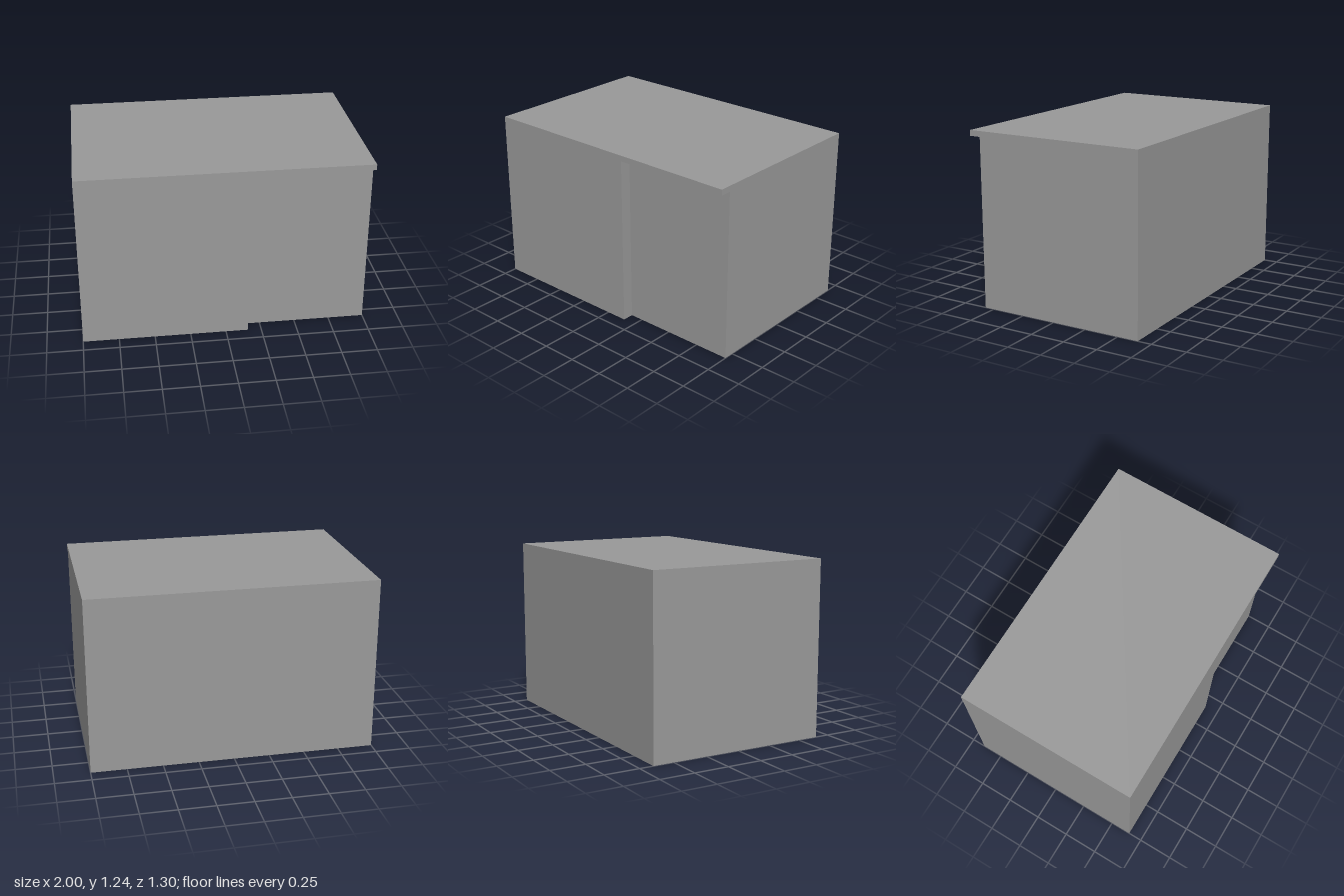
import * as THREE from 'three';

const W = 1, H = 1.24, F = 0.65;       // half width, height, half depth
const SX = 0.155, RY = 1.2, RZ = 0.57; // recess: side, ceiling and back wall

// Flat face fanned from its first corner (the inner corner on L-shaped faces)
function face(name, corners, material) {
  const index = [];
  for (let i = 1; i < corners.length - 1; i++) index.push(0, i, i + 1);
  const g = new THREE.BufferGeometry();
  g.setAttribute('position', new THREE.Float32BufferAttribute(corners.flat(), 3));
  g.setIndex(index);
  g.computeVertexNormals();
  const mesh = new THREE.Mesh(g, material);
  mesh.name = name;
  return mesh;
}

export function createModel() {
  const grey = new THREE.MeshStandardMaterial({ color: 0x999999 });
  grey.name = 'grey';

  // Helpers placing 2D outlines on each axis plane
  const onX = (x, pts) => pts.map(([z, y]) => [x, y, z]);
  const onY = (y, pts) => pts.map(([x, z]) => [x, y, z]);
  const onZ = (z, pts) => pts.map(([x, y]) => [x, y, z]);

  const faces = {
    // Outer shell
    frontWall: onZ(F, [[SX, RY], [W, RY], [W, H], [-W, H], [-W, 0], [SX, 0]]),
    backWall: onZ(-F, [[W, 0], [-W, 0], [-W, H], [W, H]]),
    leftWall: onX(W, [[RZ, RY], [RZ, 0], [-F, 0], [-F, H], [F, H], [F, RY]]),
    rightWall: onX(-W, [[-F, 0], [F, 0], [F, H], [-F, H]]),
    roof: onY(H, [[-W, F], [W, F], [W, -F], [-W, -F]]),
    floor: onY(0, [[SX, RZ], [SX, F], [-W, F], [-W, -F], [W, -F], [W, RZ]]),
    // Shallow recess in the front left corner
    recessWall: onZ(RZ, [[SX, 0], [W, 0], [W, RY], [SX, RY]]),
    recessSide: onX(SX, [[F, 0], [RZ, 0], [RZ, RY], [F, RY]]),
    overhangUnderside: onY(RY, [[SX, RZ], [W, RZ], [W, F], [SX, F]]),
  };

  const model = new THREE.Group();
  model.name = 'building';
  for (const [name, corners] of Object.entries(faces)) model.add(face(name, corners, grey));
  return model;
}
